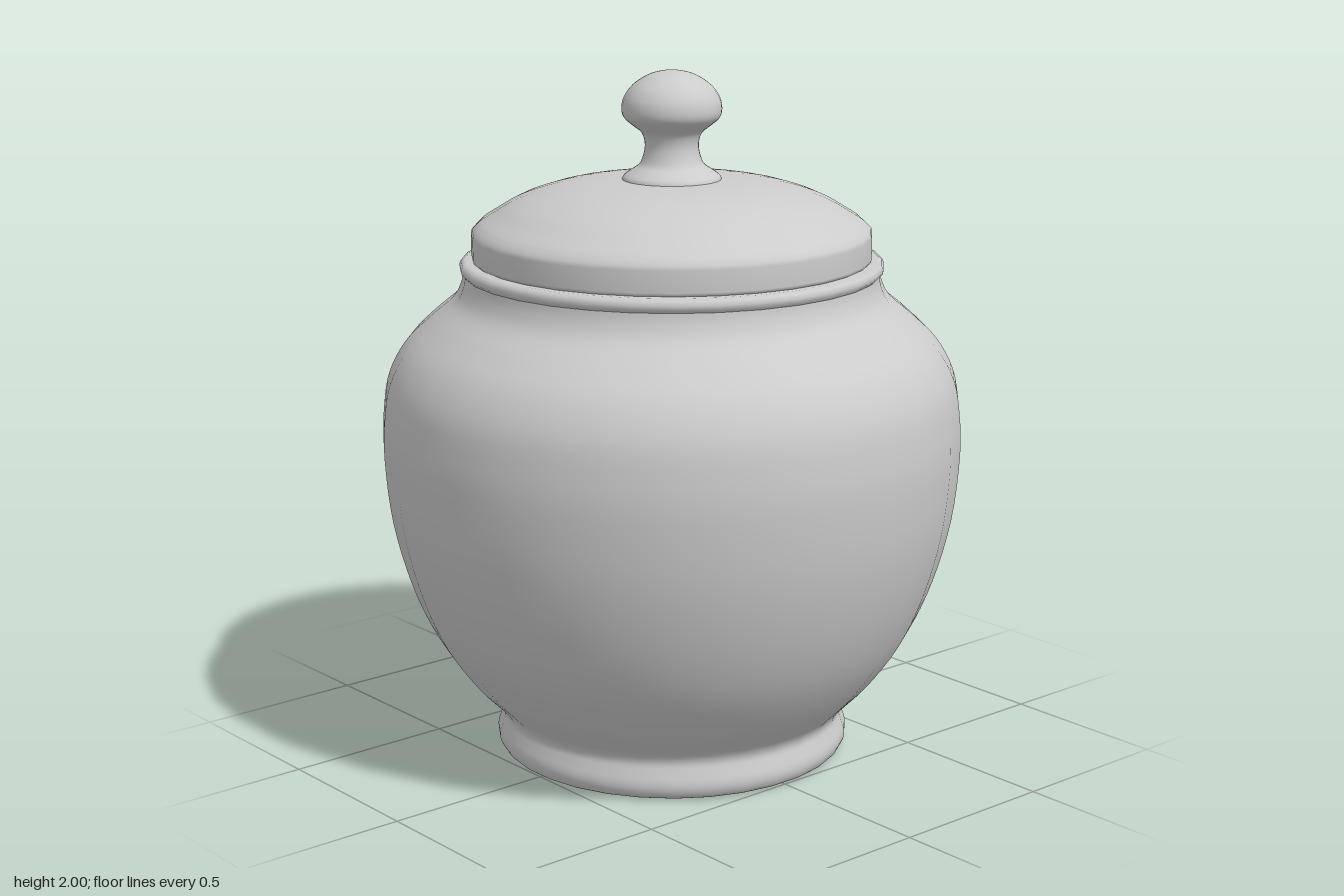
import * as THREE from 'three';

const SIDES = 32;
const material = new THREE.MeshStandardMaterial({ color: 0xcccccc });

// Turns a profile of [radius, height] points, optionally smoothed by a spline
function turned(name, profile, samples = 0) {
  let points = profile.map(([r, y]) => new THREE.Vector2(r, y));
  if (samples) {
    points = new THREE.SplineCurve(points).getPoints(samples);
    points.forEach((p) => { p.x = Math.max(p.x, 0); });
  }
  const geometry = new THREE.LatheGeometry(points, SIDES, Math.PI / SIDES);
  const mesh = new THREE.Mesh(geometry, material);
  mesh.name = name;
  return mesh;
}

export function createModel() {
  const jar = new THREE.Group();
  jar.name = 'lidded jar';

  // Flat underside
  jar.add(turned('base', [[0, 0], [0.48, 0]]));

  // Foot ring, swelling belly and shoulder
  jar.add(turned('body', [
    [0.48, 0], [0.505, 0.008], [0.518, 0.03], [0.519, 0.055], [0.51, 0.085],
    [0.504, 0.11], [0.513, 0.135], [0.54, 0.165], [0.61, 0.24], [0.7, 0.37],
    [0.77, 0.53], [0.82, 0.72], [0.84, 0.91], [0.836, 1.03], [0.818, 1.13],
    [0.77, 1.22], [0.7, 1.29], [0.63, 1.35], [0.605, 1.395], [0.598, 1.43],
  ], 76));

  // Rolled lip the lid rests on
  jar.add(turned('lip', [
    [0.598, 1.425], [0.607, 1.434], [0.61, 1.446], [0.605, 1.458],
    [0.592, 1.465], [0.54, 1.466],
  ]));

  // Lid: upright band, rounded edge and low dome
  const lid = new THREE.Group();
  lid.name = 'lid';
  lid.add(turned('lidBand', [
    [0.54, 1.462], [0.572, 1.465], [0.575, 1.475], [0.575, 1.535],
    [0.572, 1.548], [0.56, 1.56],
  ]));
  lid.add(turned('lidDome', [
    [0.56, 1.56], [0.545, 1.573], [0.51, 1.595], [0.46, 1.625], [0.4, 1.65],
    [0.32, 1.673], [0.23, 1.686], [0.13, 1.692], [0, 1.693],
  ], 32));

  // Knob: flared foot, narrow neck and mushroom cap
  lid.add(turned('knob', [
    [0.143, 1.688], [0.137, 1.702], [0.115, 1.718], [0.092, 1.735],
    [0.08, 1.765], [0.077, 1.795], [0.087, 1.825], [0.115, 1.848],
    [0.137, 1.868], [0.143, 1.893], [0.136, 1.925], [0.112, 1.958],
    [0.07, 1.986], [0.03, 1.998], [0, 2],
  ], 56));
  jar.add(lid);

  return jar;
}
